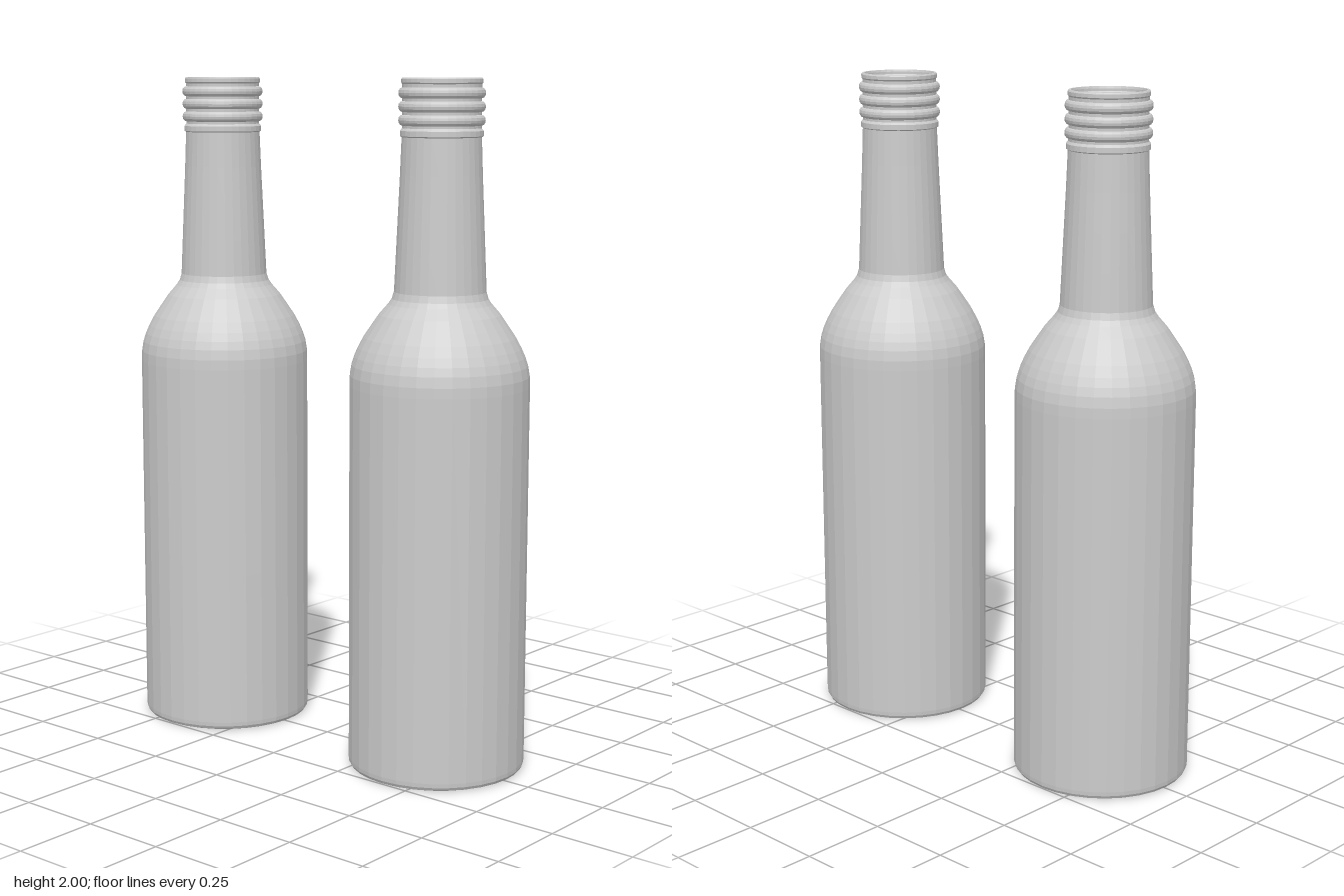
import * as THREE from 'three';

const SIDES = 32;
const BODY_R = 0.259;
const CRACK_Y = 0.52;
const material = new THREE.MeshStandardMaterial({ color: 0xcccccc, flatShading: true, side: THREE.DoubleSide });

function lathe(name, points) {
  const geometry = new THREE.LatheGeometry(points.map(([r, y]) => new THREE.Vector2(r, y)), SIDES);
  const mesh = new THREE.Mesh(geometry, material);
  mesh.name = name;
  return mesh;
}

// Closed base with a small rounded edge
const basePoints = [[0, 0], [0.243, 0], [0.253, 0.004], [0.258, 0.013], [BODY_R, 0.025]];

// Rounded shoulder running into the neck
const shoulderPoints = [
  [BODY_R, 1.13], [0.258, 1.16], [0.253, 1.19], [0.245, 1.215], [0.234, 1.24], [0.218, 1.27],
  [0.198, 1.3], [0.174, 1.335], [0.148, 1.365], [0.138, 1.38], [0.132, 1.4],
];
const neckPoints = [[0.132, 1.4], [0.127, 1.51], [0.122, 1.62], [0.117, 1.73], [0.113, 1.835]];

// Screw finish: rounded ribs stacked below the lip
function finishPoints() {
  const points = [[0.113, 1.835], [0.118, 1.838], [0.118, 1.853], [0.112, 1.86]];
  for (const y of [1.882, 1.92, 1.958]) {
    for (let i = 0; i <= 6; i++) {
      const a = (i / 6) * Math.PI;
      points.push([0.112 + 0.011 * Math.sin(a), y - 0.015 * Math.cos(a)]);
    }
  }
  points.push([0.112, 1.982], [0.115, 1.986], [0.115, 1.996], [0.112, 2], [0.106, 2], [0.104, 1.994]);
  return points;
}

// Moves the seam ring of a body piece up and down into a jagged crack
function jagged(mesh) {
  const pos = mesh.geometry.attributes.position;
  for (let i = 0; i < pos.count; i++) {
    if (Math.abs(pos.getY(i) - CRACK_Y) > 1e-4) continue;
    const k = Math.round(Math.atan2(pos.getX(i), pos.getZ(i)) / (2 * Math.PI) * SIDES + SIDES) % SIDES;
    pos.setY(i, CRACK_Y + 0.05 * Math.sin(k * 1.9) + 0.03 * Math.cos(k * 4.3));
  }
  mesh.geometry.computeVertexNormals();
  return mesh;
}

function makeBottle(name, x, cracked) {
  const bottle = new THREE.Group();
  bottle.name = name;
  bottle.add(lathe('base', basePoints));
  if (cracked) {
    // Two body pieces that fit together along the crack
    bottle.add(jagged(lathe('lowerBody', [[BODY_R, 0.025], [BODY_R, CRACK_Y]])));
    bottle.add(jagged(lathe('upperBody', [[BODY_R, CRACK_Y], [BODY_R, 1.13]])));
  } else {
    bottle.add(lathe('body', [[BODY_R, 0.025], [BODY_R, 1.13]]));
  }
  bottle.add(lathe('shoulder', shoulderPoints));
  bottle.add(lathe('neck', neckPoints));
  bottle.add(lathe('threadedMouth', finishPoints()));
  bottle.position.x = x;
  return bottle;
}

export function createModel() {
  const model = new THREE.Group();
  model.name = 'bottles';
  model.add(makeBottle('wholeBottle', 0.42, false));
  model.add(makeBottle('crackedBottle', -0.42, true));
  return model;
}
